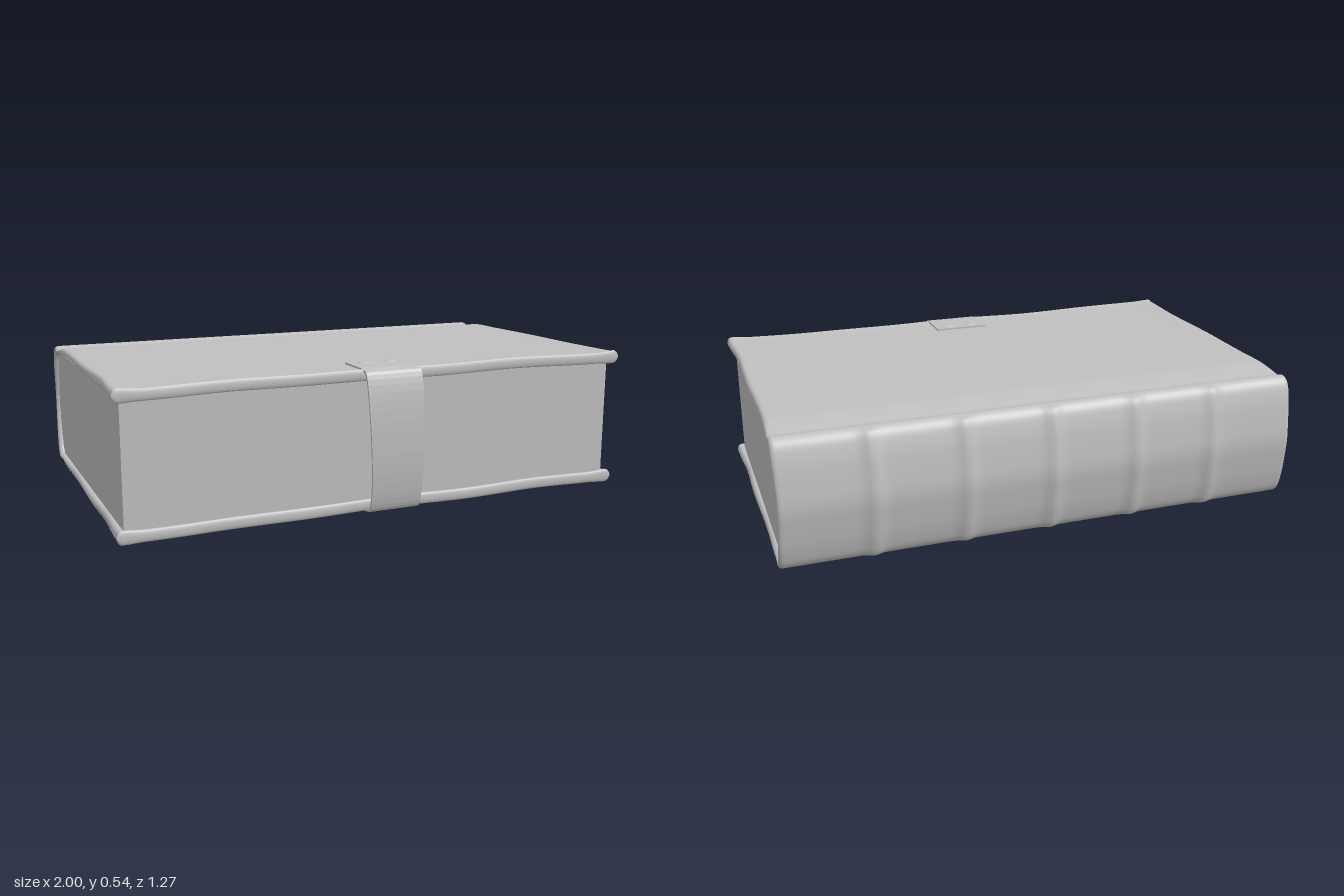
import * as THREE from 'three';

const MID = 0.27; // height of the book's plane of symmetry

const mirrorDown = (pts) => [...pts, ...pts.filter(p => Math.abs(p[1] - MID) > 1e-4).reverse().map(([z, y]) => [z, 2 * MID - y])];
const bump = (d, w) => Math.exp(-(d * d) / (w * w));
const smooth = THREE.MathUtils.smoothstep;

// Extrudes a (z, y) outline along x, from x0 to x1
function extrudeX(outline, x0, x1) {
  const shape = new THREE.Shape(outline.map(([z, y]) => new THREE.Vector2(-z, y)));
  const geo = new THREE.ExtrudeGeometry(shape, { depth: x1 - x0, bevelEnabled: false });
  geo.rotateY(Math.PI / 2);
  geo.translate(x0, 0, 0);
  return geo;
}

// Leather cover: one C-shaped cross-section swept along x, closed by rounded ends
function coverGeometry() {
  const outer = mirrorDown([
    [0.585, 0.533], [0.555, 0.531], [0.3, 0.528], [0, 0.526], [-0.25, 0.524], [-0.4, 0.522],
    [-0.46, 0.513], [-0.515, 0.504], [-0.55, 0.513], [-0.578, 0.495], [-0.598, 0.44], [-0.614, 0.35], [-0.622, MID],
  ]);
  const inner = mirrorDown([
    [0.585, 0.494], [0.555, 0.497], [0.3, 0.499], [0, 0.498], [-0.25, 0.496], [-0.4, 0.495],
    [-0.46, 0.492], [-0.51, 0.488], [-0.54, 0.49], [-0.562, 0.473], [-0.58, 0.43], [-0.598, 0.35], [-0.607, MID],
  ]);
  const n = outer.length, k = 6, M = 2 * n * k;
  const loop = [...outer, ...inner.reverse()].map(([z, y]) => new THREE.Vector3(0, y, z));
  const curve = new THREE.CatmullRomCurve3(loop, true);
  const ring = Array.from({ length: M }, (_, j) => curve.getPoint(j / M));
  const ribs = [-0.66, -0.34, -0.01, 0.32, 0.66];

  // stations along x, with tighter ones rounding off both ends
  const half = [];
  for (let i = 0; i <= 6; i++) {
    const a = (i / 6) * Math.PI / 2;
    half.push([0.982 + 0.018 * Math.sin(a), 1 - Math.cos(a)]);
  }
  const stations = half.map(([x, s]) => [-x, s]).reverse();
  for (let i = 1; i < 110; i++) stations.push([-0.982 + 1.964 * i / 110, 0]);
  stations.push(...half);

  const pos = [], idx = [];
  stations.forEach(([x, pinch]) => {
    const rib = Math.max(...ribs.map(r => bump(x - r, 0.026)));
    const swell = 0.2 * smooth(Math.abs(x), 0.9, 0.98);
    for (let j = 0; j < M; j++) {
      const p = ring[j], q = ring[((2 * n - 1) * k - j + M) % M];
      const mz = (p.z + q.z) / 2, my = (p.y + q.y) / 2;
      const f = (1 + swell * smooth(p.z, -0.5, 0.4)) * (1 - pinch);
      let z = mz + (p.z - mz) * f, y = my + (p.y - my) * f;
      const side = Math.sign(p.y - MID), front = smooth(p.z, 0.35, 0.58);
      // raised bands across the spine
      if (j <= (n - 1) * k) {
        const h = 0.012 * rib * smooth(-p.z, 0.55, 0.575);
        z -= h;
        y += side * h * 0.25 * smooth(Math.abs(p.y - MID), 0.1, 0.22);
      }
      // gently worn edges and flared front corners
      z += front * (0.006 * Math.sin(7 * x + side) - 0.008 + 0.014 * smooth(Math.abs(x), 0.6, 0.95));
      y += side * front * (0.0015 * Math.sin(11 * x + 2 * side) - 0.002);
      const length = 0.987 + 0.013 * smooth(p.z, 0.3, 0.55) + 0.003 * Math.sin(9 * p.z + 14 * p.y);
      pos.push(x * Math.min(length, 1), y, z);
    }
  });
  for (let i = 0; i < stations.length - 1; i++) {
    for (let j = 0; j < M; j++) {
      const a = i * M + j, b = i * M + (j + 1) % M;
      idx.push(a, a + M, b + M, a, b + M, b);
    }
  }
  const geo = new THREE.BufferGeometry();
  geo.setAttribute('position', new THREE.Float32BufferAttribute(pos, 3));
  geo.setIndex(idx);
  geo.computeVertexNormals();
  return geo;
}

export function createModel() {
  const book = new THREE.Group();
  book.name = 'book';
  const grey = new THREE.MeshStandardMaterial({ color: 0xc0c0c0 });
  grey.name = 'plain grey';
  const add = (name, geo) => {
    const mesh = new THREE.Mesh(geo, grey);
    mesh.name = name;
    book.add(mesh);
    return mesh;
  };

  add('cover', coverGeometry());

  // Page block with a rounded back
  add('pages', extrudeX(mirrorDown([
    [0.568, 0.494], [-0.54, 0.488], [-0.565, 0.465], [-0.585, 0.41], [-0.6, 0.34], [-0.607, MID],
  ]), -0.97, 0.97));

  // Closing strap bowed around the fore edge
  const bow = (t) => {
    const out = [[0.425, 0.536 - t], [0.56, 0.536 - t], [0.598 - t, 0.53 - t]];
    for (let i = 1; i <= 10; i++) {
      const a = (1 - i / 10) * Math.PI / 2;
      out.push([0.598 - t + 0.039 * Math.cos(a), MID + (0.26 - t) * Math.sin(a)]);
    }
    return mirrorDown(out);
  };
  const strap = extrudeX([...bow(0), ...bow(0.007).reverse()], -0.1, 0.12);
  const sp = strap.attributes.position;
  for (let i = 0; i < sp.count; i++) {
    if (sp.getX(i) < 0) sp.setX(i, -0.08 - 0.02 * smooth(sp.getY(i), 0, 0.54));
  }
  strap.computeVertexNormals();
  add('strap', strap);

  // Two rivets on each end of the strap
  for (const y of [0.534, 0.006]) {
    for (const x of [-0.04, 0.065]) {
      const rivet = add('rivet', new THREE.SphereGeometry(0.028, 16, 8));
      rivet.scale.set(1, 0.26, 0.75);
      rivet.position.set(x, y, 0.462);
    }
  }
  return book;
}
